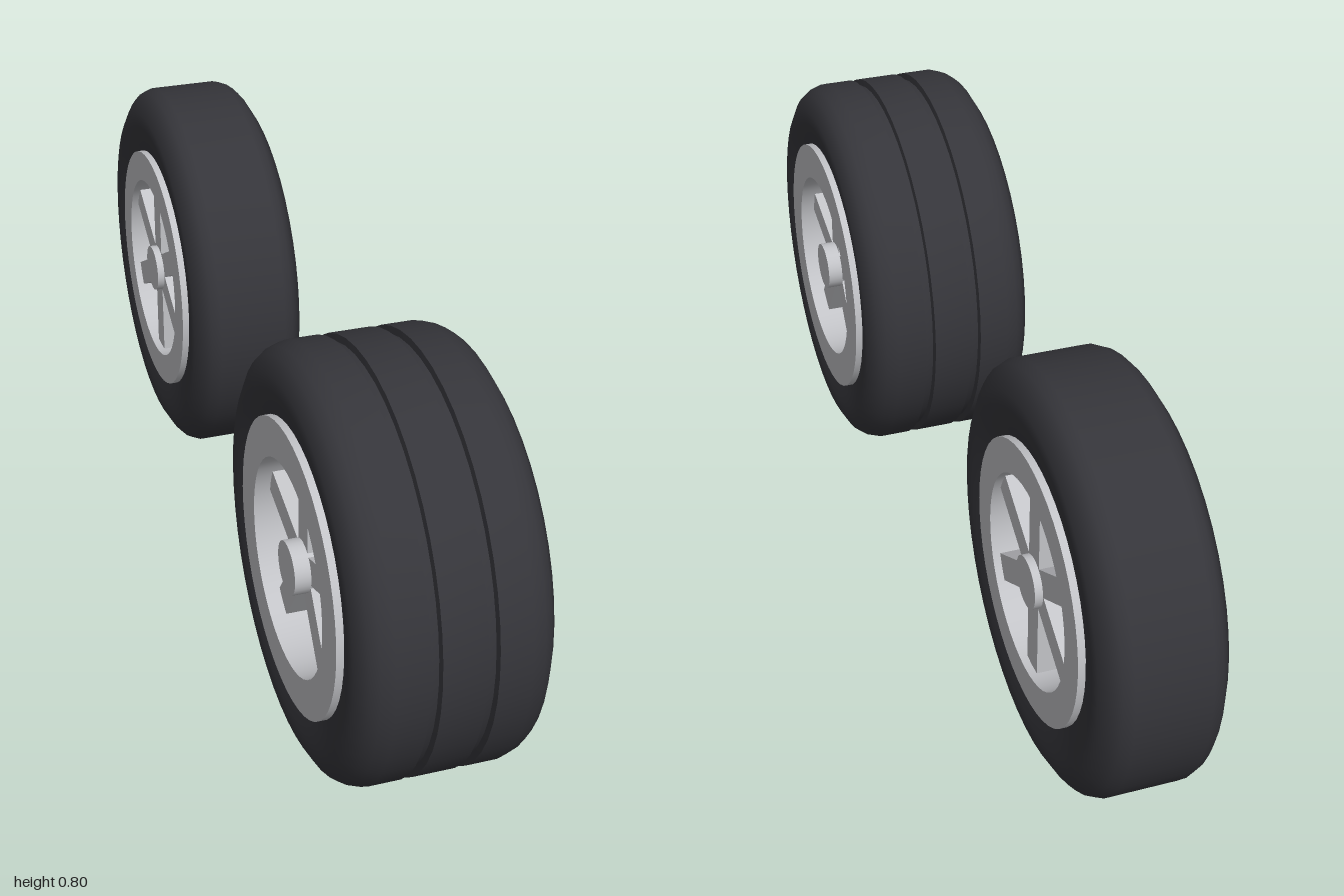
import * as THREE from 'three';
import { toCreasedNormals } from 'three/addons/utils/BufferGeometryUtils.js';

const rubber = new THREE.MeshStandardMaterial({ name: 'black rubber', color: 0x35353a });
const alloy = new THREE.MeshStandardMaterial({ name: 'silver alloy', color: 0xc2c3c7 });
const SEGMENTS = 48;

// Revolve [radius, x] points around the x axis, keeping hard edges
function revolve(points, crease = 0.8) {
  const lathe = new THREE.LatheGeometry(points.map(([r, x]) => new THREE.Vector2(r, x)), SEGMENTS);
  lathe.rotateZ(-Math.PI / 2);
  return toCreasedNormals(lathe, crease);
}

function add(parent, name, geometry, material) {
  const mesh = new THREE.Mesh(geometry, material);
  mesh.name = name;
  parent.add(mesh);
  return mesh;
}

function makeWheel({ name, halfWidth: w, shoulder, rimRadius, spokes, grooves, recess, depth }) {
  const wheel = new THREE.Group();
  wheel.name = name;
  const face = w + 0.003;

  // Tyre: one half of the section from sidewall to tread, then its mirror
  const half = [
    [rimRadius - 0.02, w - 0.015], [rimRadius + 0.015, w - 0.008], [0.32, w - 0.001], [0.35, w],
    [0.38, w - 0.017], [0.392, (w - 0.017 + shoulder) / 2 + 0.004], [0.4, shoulder],
  ];
  for (const g of grooves) {
    half.push([0.4, g + 0.01], [0.387, g + 0.008], [0.387, g - 0.008], [0.4, g - 0.01]);
  }
  const mirrored = half.map(([r, x]) => [r, -x]);
  add(wheel, 'tyre', revolve([...mirrored, ...half.reverse()]), rubber);

  // Dark core behind the spokes
  const core = new THREE.CylinderGeometry(0.21, 0.21, 2 * (face - depth), SEGMENTS);
  core.rotateZ(Math.PI / 2);
  add(wheel, 'core', core, rubber);

  for (const side of [1, -1]) {
    const rim = new THREE.Group();
    rim.name = side > 0 ? 'leftRim' : 'rightRim';
    rim.rotation.y = side > 0 ? 0 : Math.PI;
    wheel.add(rim);

    // Flat ring with a deep inner barrel
    add(rim, 'rimRing', revolve([
      [rimRadius, face - depth - 0.01], [rimRadius, face], [0.2, face], [0.2, face - depth - 0.01],
    ]), alloy);

    // Hub
    const hub = new THREE.CylinderGeometry(0.05, 0.05, depth, 32);
    hub.rotateZ(-Math.PI / 2);
    add(rim, 'hub', hub, alloy).position.x = face - depth / 2;

    // Spokes, the first one pointing straight up
    const thick = depth - recess;
    for (let i = 0; i < spokes; i++) {
      const spoke = new THREE.BoxGeometry(thick, 0.19, 0.052);
      spoke.translate(face - recess - thick / 2, 0.115, 0);
      spoke.rotateX((i / spokes) * Math.PI * 2);
      add(rim, 'spoke', spoke, alloy);
    }
  }
  return wheel;
}

export function createModel() {
  const model = new THREE.Group();
  model.name = 'wheelPair';

  const front = makeWheel({
    name: 'frontWheel', halfWidth: 0.177, shoulder: 0.12, rimRadius: 0.274,
    spokes: 5, grooves: [0.05], recess: 0.03, depth: 0.085,
  });
  front.position.set(0, 0.4, 0.6);

  const rear = makeWheel({
    name: 'rearWheel', halfWidth: 0.117, shoulder: 0.07, rimRadius: 0.265,
    spokes: 6, grooves: [], recess: 0.015, depth: 0.07,
  });
  rear.position.set(0, 0.4, -0.6);

  model.add(front, rear);
  return model;
}
